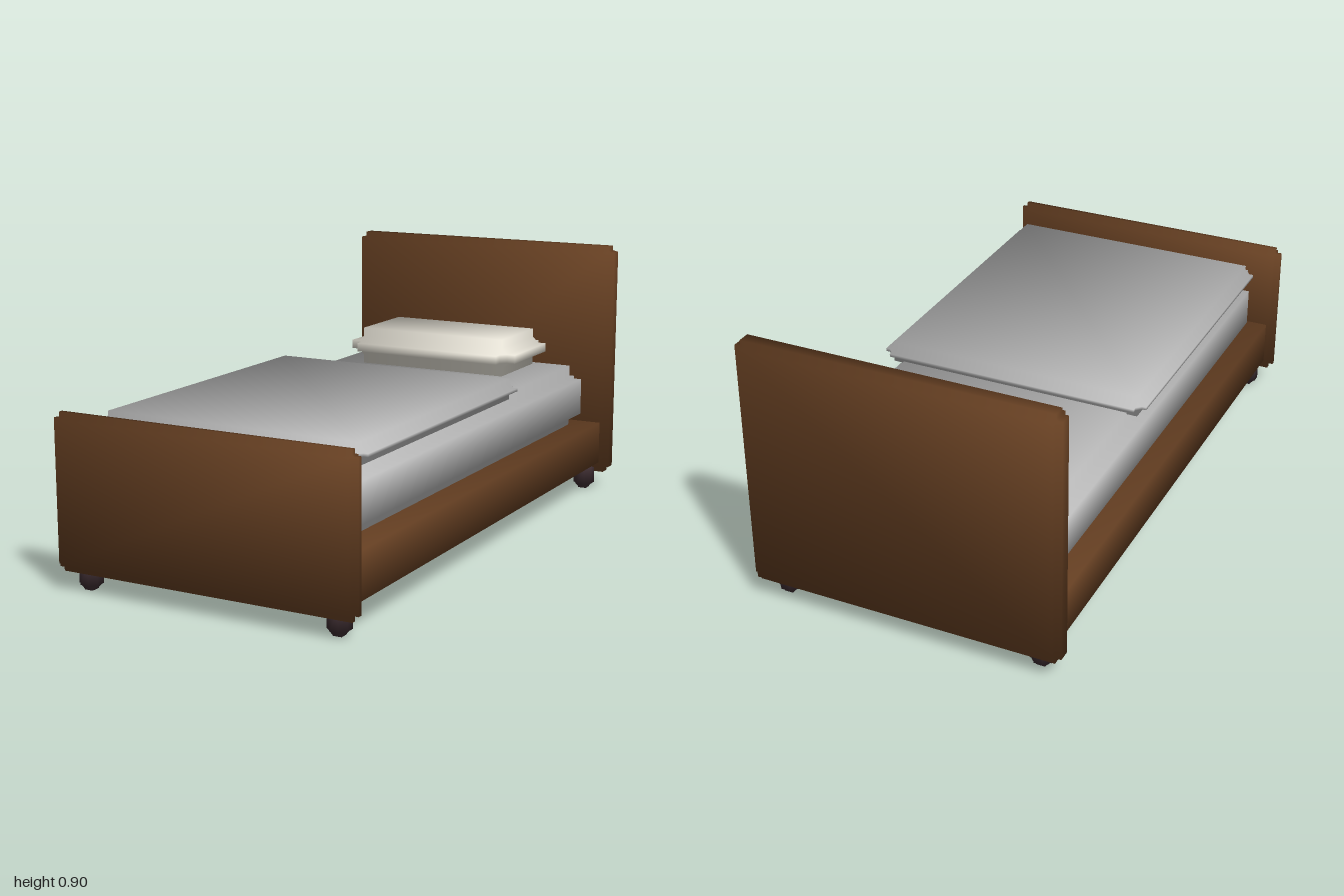
import * as THREE from 'three';

const mat = (name, color) => {
  const m = new THREE.MeshStandardMaterial({ color });
  m.name = name;
  return m;
};

// Soft shading: every corner's normal leans equally along its three axes
function softNormals(geo) {
  const p = geo.attributes.position;
  const n = new Float32Array(p.count * 3);
  for (let i = 0; i < n.length; i++) n[i] = Math.sign(p.array[i]) / Math.sqrt(3);
  geo.setAttribute('normal', new THREE.BufferAttribute(n, 3));
  return geo;
}

// Chamfered block (chamfer e) whose six faces are each pushed out by d
function paddedBlock(size, d, e) {
  const half = size.map((s) => s / 2);
  const pos = [];
  const signs = [-1, 1];

  // Corner with the given signs, belonging to the face on axis a
  const corner = (sg, a, outer) => new THREE.Vector3(...half.map((h, i) =>
    sg[i] * (i === a ? h - (outer ? 0 : d) : h - d - e)));

  const tri = (p, q, r, out) => {
    const n = q.clone().sub(p).cross(r.clone().sub(p));
    const order = n.dot(out) >= 0 ? [p, q, r] : [p, r, q];
    order.forEach((v) => pos.push(v.x, v.y, v.z));
  };
  const quad = (p, q, r, s, out) => { tri(p, q, r, out); tri(p, r, s, out); };
  const dir = (pairs) => {
    const v = [0, 0, 0];
    pairs.forEach(([axis, s]) => { v[axis] = s; });
    return v;
  };
  const vec = (v) => new THREE.Vector3(...v);

  for (let a = 0; a < 3; a++) {
    for (const s of signs) {
      const b = (a + 1) % 3, c = (a + 2) % 3;
      const at = (t, u) => dir([[a, s], [b, t], [c, u]]);

      // Raised face
      quad(corner(at(-1, -1), a, true), corner(at(1, -1), a, true),
        corner(at(1, 1), a, true), corner(at(-1, 1), a, true), vec(dir([[a, s]])));

      // Short walls around the raised face
      for (const t of signs) {
        for (const [axis, lo, hi] of [[b, at(t, -1), at(t, 1)], [c, at(-1, t), at(1, t)]]) {
          quad(corner(lo, a, false), corner(hi, a, false),
            corner(hi, a, true), corner(lo, a, true), vec(dir([[axis, t]])));
        }
        // Chamfer strip towards the next axis
        quad(corner(at(t, -1), a, false), corner(at(t, 1), a, false),
          corner(at(t, 1), b, false), corner(at(t, -1), b, false), vec(dir([[a, s], [b, t]])));
      }
    }
  }
  // Corner triangles
  for (const x of signs) for (const y of signs) for (const z of signs) {
    const sg = [x, y, z];
    tri(corner(sg, 0, false), corner(sg, 1, false), corner(sg, 2, false), vec(sg));
  }

  const geo = new THREE.BufferGeometry();
  geo.setAttribute('position', new THREE.Float32BufferAttribute(pos, 3));
  return softNormals(geo);
}

export function createModel() {
  const group = new THREE.Group();
  group.name = 'bed';

  const wood = mat('brown wood', 0x653f22);
  const linen = mat('grey linen', 0xbdbdbd);
  const cotton = mat('off white cotton', 0xe8e4d8);
  const darkWood = mat('dark foot', 0x3c2c30);

  const add = (name, geo, material, x, y, z) => {
    const mesh = new THREE.Mesh(geo, material);
    mesh.name = name;
    mesh.position.set(x, y, z);
    group.add(mesh);
  };
  // Padded block given by its [min, max] range on y and z, centred on x
  const block = (name, material, width, [y0, y1], [z0, z1], d, e) =>
    add(name, paddedBlock([width, y1 - y0, z1 - z0], d, e), material,
      0, (y0 + y1) / 2, (z0 + z1) / 2);

  // Wooden structure
  block('headboard', wood, 1.04, [0.06, 0.9], [-1, -0.92], 0.015, 0.005);
  block('footboard', wood, 1.04, [0.06, 0.555], [0.945, 1], 0.015, 0.005);
  add('frame', softNormals(new THREE.BoxGeometry(0.98, 0.15, 1.875)), wood, 0, 0.175, 0.0125);

  // Bedding
  block('mattress', linen, 0.89, [0.25, 0.47], [-0.885, 0.895], 0.04, 0.006);
  block('blanket', linen, 0.93, [0.465, 0.535], [-0.245, 0.855], 0.014, 0.016);
  block('pillow', cotton, 0.65, [0.475, 0.605], [-0.835, -0.46], 0.03, 0.02);

  // Feet
  const footGeo = paddedBlock([0.068, 0.1, 0.07], 0.003, 0.016);
  for (const side of [-1, 1]) {
    add('frontFoot', footGeo, darkWood, side * 0.434, 0.05, 0.935);
    add('backFoot', footGeo, darkWood, side * 0.434, 0.05, -0.92);
  }
  return group;
}
